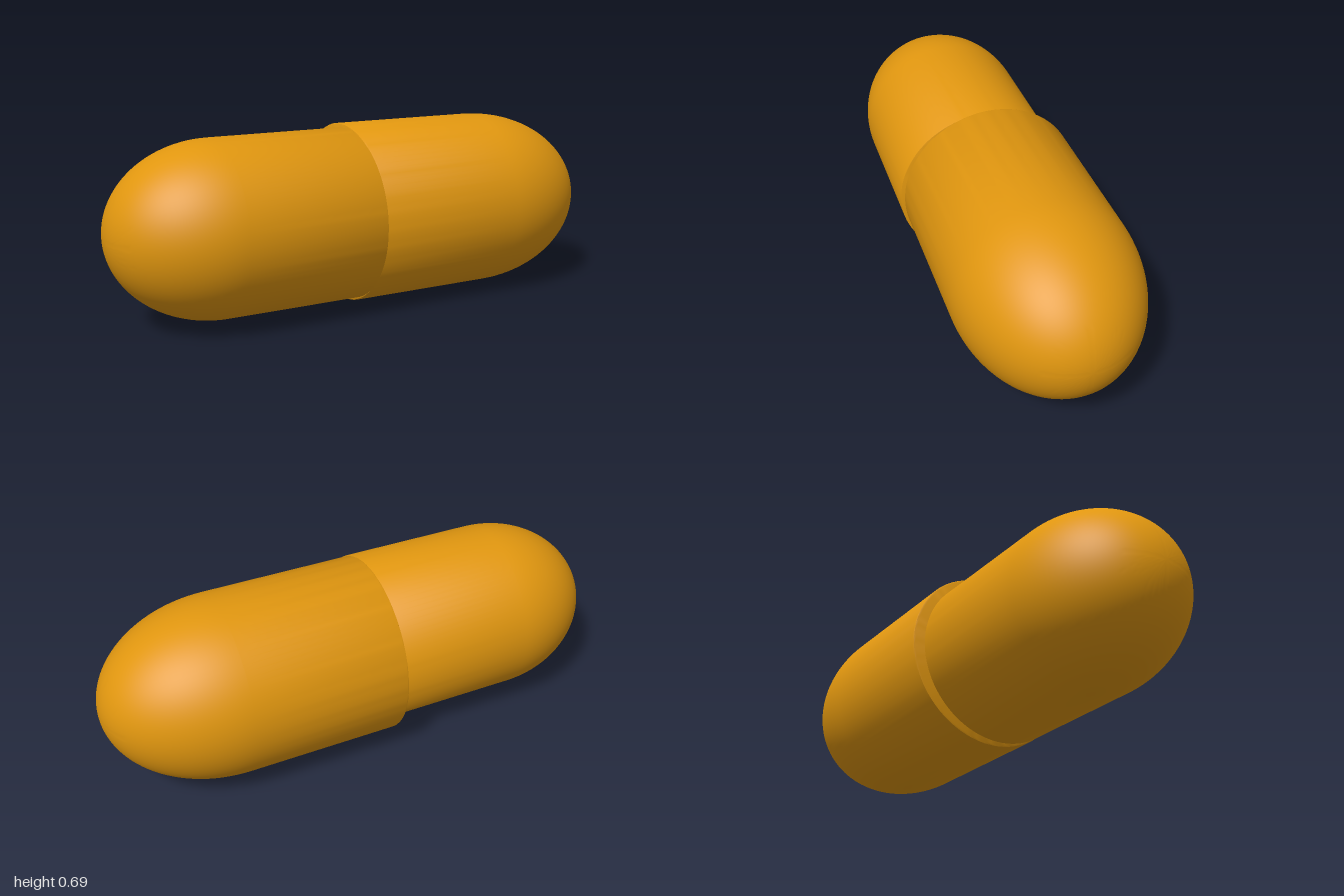
import * as THREE from 'three';
import { toCreasedNormals } from 'three/addons/utils/BufferGeometryUtils.js';

const TILT = 0.03; // slight yaw of the capsule axis, +x end towards +z

// Half shell along +x: rim at 0, straight wall, then an elliptical dome.
function shellHalf(name, radius, length, dome, bevel, material) {
  const pts = [
    new THREE.Vector2(0, 0),
    new THREE.Vector2(radius - bevel, 0),
    new THREE.Vector2(radius - bevel * 0.3, bevel * 0.3),
    new THREE.Vector2(radius, bevel),
  ];
  const steps = 28;
  for (let i = 0; i <= steps; i++) {
    const a = (i / steps) * Math.PI / 2;
    pts.push(new THREE.Vector2(
      i === steps ? 0 : radius * Math.cos(a),
      length - dome + dome * Math.sin(a)));
  }
  const geometry = toCreasedNormals(new THREE.LatheGeometry(pts, 96), 0.6);
  geometry.rotateZ(-Math.PI / 2);
  const mesh = new THREE.Mesh(geometry, material);
  mesh.name = name;
  return mesh;
}

export function createModel() {
  const group = new THREE.Group();
  group.name = 'capsule';
  const material = new THREE.MeshStandardMaterial({ color: 0xe0960f, side: THREE.DoubleSide });

  // Wider cap, domed towards +x
  const cap = shellHalf('cap', 0.343, 1.065, 0.47, 0.008, material);
  cap.position.set(-0.065, 0.345, -0.01);
  cap.rotation.y = -TILT;

  // Narrower body, domed towards -x, slightly offset from the cap's axis
  const body = shellHalf('body', 0.327, 0.935, 0.4, 0.004, material);
  body.position.set(-0.065, 0.348, 0.02);
  body.rotation.y = Math.PI - TILT;

  group.add(cap, body);
  return group;
}
